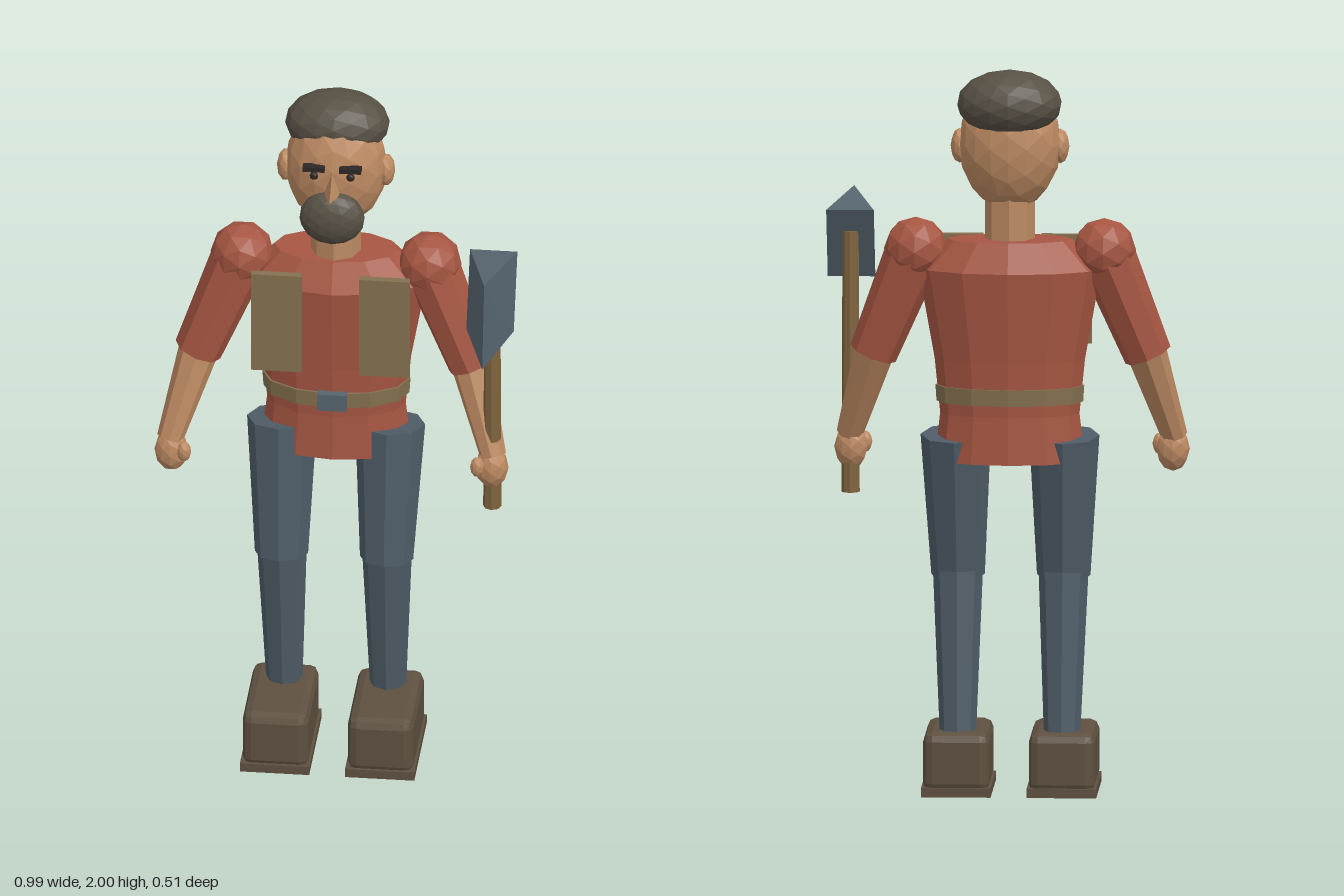
import * as THREE from 'three';
import { RoundedBoxGeometry } from 'three/addons/geometries/RoundedBoxGeometry.js';
import { ConvexGeometry } from 'three/addons/geometries/ConvexGeometry.js';

const paint = (name, color) => {
  const m = new THREE.MeshStandardMaterial({ color });
  m.name = name;
  return m;
};
const V = (x, y, z) => new THREE.Vector3(x, y, z);

export function createModel() {
  const red = paint('shirt red', 0xa65642);
  const skin = paint('skin', 0xbd8a62);
  const denim = paint('denim', 0x4f5d68);
  const leather = paint('boot leather', 0x5e5040);
  const hairCol = paint('hair', 0x575044);
  const canvas = paint('canvas', 0x84704f);
  const wood = paint('wood', 0x80653f);
  const steel = paint('steel', 0x56656f);
  const dark = paint('dark', 0x2c2724);

  const model = new THREE.Group();
  model.name = 'woodcutter';
  const body = new THREE.Group();
  body.name = 'body';
  body.position.x = -0.01;
  model.add(body);

  // Faceted mesh
  const add = (parent, name, geo, mat, x = 0, y = 0, z = 0) => {
    const g = geo.index ? geo.toNonIndexed() : geo;
    g.computeVertexNormals();
    const mesh = new THREE.Mesh(g, mat);
    mesh.name = name;
    mesh.position.set(x, y, z);
    parent.add(mesh);
    return mesh;
  };
  const blob = (parent, name, mat, [x, y, z], [rx, ry, rz], detail = 2) =>
    add(parent, name, new THREE.IcosahedronGeometry(1, detail).scale(rx, ry, rz), mat, x, y, z);
  // Tapered limb from a (radius ra) to b (radius rb)
  const limb = (parent, name, mat, a, b, ra, rb, sides = 8) => {
    const d = a.clone().sub(b);
    const mesh = add(parent, name, new THREE.CylinderGeometry(ra, rb, d.length(), sides), mat);
    mesh.position.copy(a).add(b).multiplyScalar(0.5);
    mesh.quaternion.setFromUnitVectors(V(0, 1, 0), d.normalize());
    return mesh;
  };

  // Shirt
  const profile = [[0, 0.92], [0.205, 0.92], [0.19, 1.05], [0.205, 1.2], [0.25, 1.45], [0.17, 1.53], [0, 1.53]];
  const shirt = new THREE.LatheGeometry(profile.map(([r, y]) => new THREE.Vector2(r, y)), 12);
  add(body, 'shirt', shirt.scale(1, 1, 0.53), red, 0, 0, -0.125);

  // Belt and buckle
  add(body, 'belt', new THREE.CylinderGeometry(0.203, 0.2, 0.045, 12).scale(1, 1, 0.55), canvas, 0, 1.105, -0.125);
  add(body, 'buckle', new THREE.BoxGeometry(0.08, 0.05, 0.025), steel, 0, 1.107, -0.012);

  // Neck and head
  add(body, 'neck', new THREE.CylinderGeometry(0.068, 0.068, 0.16, 8), skin, 0, 1.58, -0.112);
  const head = new THREE.Group();
  head.name = 'head';
  body.add(head);
  blob(head, 'face', skin, [0, 1.79, -0.12], [0.14, 0.18, 0.112]);
  blob(head, 'hair', hairCol, [0, 1.907, -0.15], [0.144, 0.091, 0.11]).rotation.x = -0.1;
  blob(head, 'beard', hairCol, [0, 1.685, -0.012], [0.09, 0.08, 0.049]);
  add(head, 'nose', new ConvexGeometry([
    V(0, 1.825, -0.012), V(-0.025, 1.755, -0.02), V(0.025, 1.755, -0.02), V(0, 1.765, 0.057),
  ]), skin);

  for (const s of [-1, 1]) {
    const side = s > 0 ? 'left' : 'right';

    // Face details
    blob(head, side + 'Ear', skin, [s * 0.137, 1.785, -0.115], [0.025, 0.048, 0.034], 1);
    blob(head, side + 'Eye', dark, [s * 0.05, 1.81, -0.017], [0.012, 0.012, 0.009], 1);
    add(head, side + 'Brow', new THREE.BoxGeometry(0.06, 0.014, 0.025), dark, s * 0.05, 1.837, -0.013);

    // Vest panel
    add(body, side + 'VestPanel', new THREE.BoxGeometry(0.138, 0.3, 0.022), canvas, s * 0.148, 1.37, 0.025);

    // Arm
    const arm = new THREE.Group();
    arm.name = side + 'Arm';
    body.add(arm);
    const shoulder = V(s * 0.257, 1.5, -0.116);
    const elbow = V(s * 0.375, 1.205, -0.085);
    const wrist = V(s * 0.443, 0.97, 0);
    blob(arm, 'shoulder', red, shoulder.toArray(), [0.087, 0.087, 0.087], 1);
    limb(arm, 'sleeve', red, shoulder, elbow, 0.08, 0.066);
    limb(arm, 'forearm', skin, elbow.clone().lerp(shoulder, 0.05), wrist, 0.056, 0.036);
    blob(arm, 'hand', skin, [s * 0.439, 0.935, 0], [0.046, 0.062, 0.04], 1);
    blob(arm, 'thumb', skin, [s * 0.402, 0.945, 0.024], [0.02, 0.03, 0.02], 1);

    // Leg
    const leg = new THREE.Group();
    leg.name = side + 'Leg';
    body.add(leg);
    limb(leg, 'thigh', denim, V(s * 0.148, 0.99, -0.117), V(s * 0.144, 0.595, -0.063), 0.096, 0.073);
    limb(leg, 'shin', denim, V(s * 0.144, 0.605, -0.073), V(s * 0.142, 0.17, -0.118), 0.068, 0.05);

    // Boot
    add(leg, 'boot', new RoundedBoxGeometry(0.18, 0.165, 0.31, 1, 0.025), leather, s * 0.144, 0.0925, -0.045);
    add(leg, 'sole', new THREE.BoxGeometry(0.19, 0.025, 0.32), leather, s * 0.144, 0.0125, -0.045);
  }

  // Axe held upright in the left hand
  const axe = new THREE.Group();
  axe.name = 'axe';
  model.add(axe);
  limb(axe, 'handle', wood, V(0.43, 1.53, -0.004), V(0.43, 0.81, -0.004), 0.022, 0.025);
  add(axe, 'blade', new ConvexGeometry([
    V(0.365, 1.592, -0.04), V(0.495, 1.592, -0.04), V(0.365, 1.395, 0.053), V(0.495, 1.395, 0.053),
    V(0.43, 1.622, 0.206), V(0.43, 1.386, 0.254),
  ]), steel);

  return model;
}
